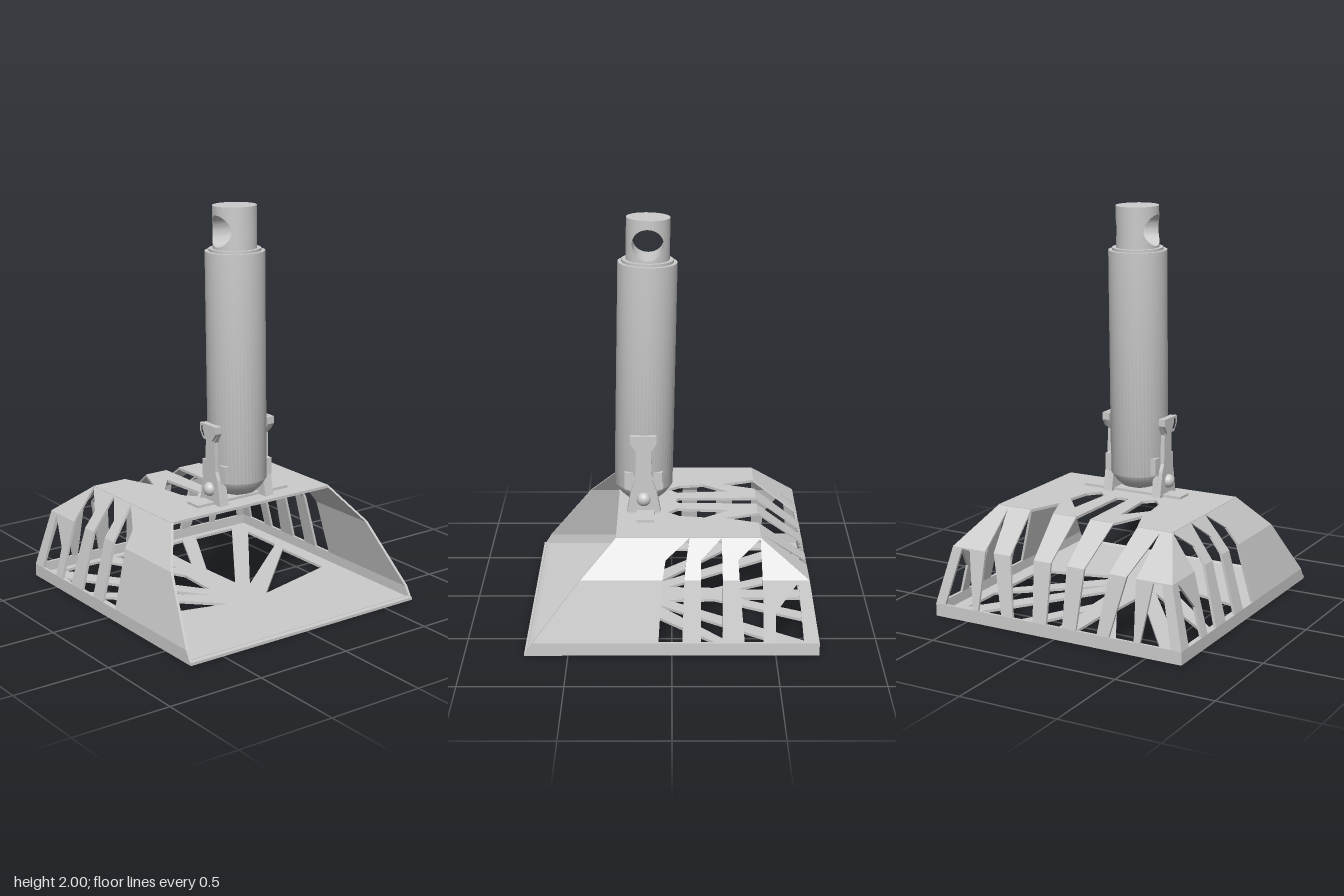
import * as THREE from 'three';
import { toCreasedNormals } from 'three/addons/utils/BufferGeometryUtils.js';

const material = new THREE.MeshStandardMaterial({ color: 0xcccccc });
const T = 0.014; // sheet thickness

function add(parent, name, geometry, x = 0, y = 0, z = 0) {
  const mesh = new THREE.Mesh(geometry, material);
  mesh.name = name;
  mesh.position.set(x, y, z);
  parent.add(mesh);
  return mesh;
}

// Closed solid through rings of points, turned so that it faces outwards
function loft(rings, crease = 0.3) {
  const n = rings[0].length, tris = [];
  for (let i = 0; i < rings.length - 1; i++) {
    for (let j = 0; j < n; j++) {
      const k = (j + 1) % n, a = rings[i], b = rings[i + 1];
      tris.push([a[j], a[k], b[k]], [a[j], b[k], b[j]]);
    }
  }
  const last = rings[rings.length - 1];
  for (let j = 1; j < n - 1; j++) {
    tris.push([rings[0][0], rings[0][j + 1], rings[0][j]], [last[0], last[j], last[j + 1]]);
  }
  const V = p => new THREE.Vector3(...p);
  const o = V(rings[0][0]);
  let volume = 0;
  for (const [a, b, c] of tris) volume += V(a).sub(o).dot(V(b).sub(o).cross(V(c).sub(o)));
  if (volume < 0) tris.forEach(t => t.reverse());
  const g = new THREE.BufferGeometry();
  g.setAttribute('position', new THREE.Float32BufferAttribute(tris.flat(2), 3));
  return toCreasedNormals(g, crease);
}

// Horizontal sheet from an outline in x and z, its upper face at y = 0
function sheet(outline, holes, depth = T) {
  const shape = new THREE.Shape(outline.map(p => new THREE.Vector2(...p)));
  for (const h of holes) shape.holes.push(new THREE.Path(h.map(p => new THREE.Vector2(...p))));
  return new THREE.ExtrudeGeometry(shape, { depth, bevelEnabled: false }).rotateX(Math.PI / 2);
}
const flip = pts => pts.map(([x, z]) => [-x, z]).reverse();
const both = list => [...list, ...list.map(flip)];

// Outer position of the folded walls at a given height
const along = (stops, y) => {
  let i = 1;
  while (i < stops.length - 1 && y > stops[i][0]) i++;
  const [y0, v0] = stops[i - 1], [y1, v1] = stops[i];
  return v0 + (v1 - v0) * (y - y0) / (y1 - y0);
};
const sideX = y => along([[0, 0.685], [0.065, 0.685], [0.36, 0.61], [0.53, 0.49]], y);
const backZ = y => along([[0, -0.71], [0.065, -0.71], [0.36, -0.66], [0.53, -0.43]], y);

// Wall strips: rows of [height, first edge, second edge]
const sideStrip = (rows, s) => loft(rows.map(([y, a, b]) => {
  const x = sideX(y);
  return [[s * x, y, a], [s * x, y, b], [s * (x - T), y, b], [s * (x - T), y, a]];
}));
const backStrip = (rows, s) => loft(rows.map(([y, a, b]) => {
  const z = backZ(y);
  return [[s * a, y, z], [s * b, y, z], [s * b, y, z + T], [s * a, y, z + T]];
}));

const SIDE = {
  Rim: [[0, 0.71, -0.71], [0.065, 0.67, -0.71]],
  FrontPanel: [[0.065, 0.67, 0.065], [0.36, 0.44, 0.045], [0.44, 0.36, 0.03], [0.53, 0.27, -0.085]],
  RibFront: [[0.065, -0.05, -0.14], [0.36, -0.06, -0.14], [0.44, -0.07, -0.14], [0.53, -0.085, -0.24]],
  RibMiddle: [[0.065, -0.244, -0.35], [0.36, -0.244, -0.325], [0.44, -0.243, -0.32], [0.53, -0.24, -0.43]],
  RibRear: [[0.065, -0.44, -0.5], [0.21, -0.44, -0.5], [0.35, -0.435, -0.605], [0.36, -0.435, -0.66],
    [0.44, -0.432, -0.552], [0.53, -0.428, -0.43]],
  CornerPost: [[0.065, -0.635, -0.71], [0.36, -0.605, -0.66]],
};
const BACK = {
  Rim: [[0, 0, 0.685], [0.065, 0, 0.685]],
  RibInner: [[0.065, 0.045, 0.12], [0.36, 0.045, 0.14], [0.53, 0.04, 0.17]],
  RibOuter: [[0.065, 0.235, 0.3], [0.36, 0.275, 0.37], [0.53, 0.3, 0.43]],
  RibCorner: [[0.065, 0.435, 0.467], [0.35, 0.42, 0.51], [0.36, 0.42, 0.61], [0.53, 0.428, 0.49]],
  CornerPost: [[0.065, 0.63, 0.685], [0.36, 0.555, 0.61]],
};

function makeScoop() {
  const scoop = new THREE.Group();
  scoop.name = 'scoop';
  // Top plate, slotted from its rear edge
  const half = [[0.49, 0.27], [0.49, -0.43], [0.3, -0.43], [0.235, -0.26], [0.17, -0.43],
    [0.04, -0.43], [0.035, -0.04], [0.02, -0.025]];
  add(scoop, 'topPlate', sheet([...half, ...flip(half)],
    both([[[0.13, -0.29], [0.23, -0.165], [0.21, -0.04], [0.16, 0.02], [0.11, -0.03]]])), 0, 0.532, 0);
  // Floor with openings fanning out from the middle
  add(scoop, 'floor', sheet([[-0.685, -0.71], [0.685, -0.71], [0.685, 0.71], [-0.685, 0.71]], both([
    [[0.05, -0.33], [0.05, -0.66], [0.22, -0.66]],
    [[0.08, 0.02], [0.07, -0.22], [0.31, -0.66], [0.56, -0.66]],
    [[0.13, 0.08], [0.6, -0.56], [0.6, -0.31]],
    [[0.12, 0.23], [0.59, -0.23], [0.59, 0.11]],
  ])), 0, T, 0);
  // Raised cutting lip
  add(scoop, 'cuttingLip', loft([-0.685, 0.685].map(x =>
    [[x, 0, 0.71], [x, 0.02, 0.695], [x, 0.012, 0.67], [x, 0, 0.67]])));
  // Side and back walls
  for (const [s, label] of [[1, 'left'], [-1, 'right']]) {
    for (const key in SIDE) add(scoop, label + 'Side' + key, sideStrip(SIDE[key], s));
    for (const key in BACK) add(scoop, label + 'Back' + key, backStrip(BACK[key], s));
  }
  return scoop;
}

// Upright plate from an outline in z and y, centred on x = 0
function upright(points, depth, hole) {
  // Rotating the extrusion turns the shape's first axis into -z
  const vec = ([z, y]) => new THREE.Vector2(-z, y);
  const shape = new THREE.Shape(points.map(vec));
  if (hole) shape.holes.push(new THREE.Path(hole.map(vec)));
  return new THREE.ExtrudeGeometry(shape, { depth, bevelEnabled: false })
    .translate(0, 0, -depth / 2).rotateY(Math.PI / 2);
}

function makeBracket() {
  const bracket = new THREE.Group();
  bracket.name = 'pivotBracket';
  add(bracket, 'basePlate', new THREE.BoxGeometry(0.56, 0.016, 0.09), 0.015, 0.537, 0.13);
  const sym = pts => [...pts, ...pts.map(([z, y]) => [-z, y]).reverse()];
  for (const [s, label] of [[1, 'left'], [-1, 'right']]) {
    add(bracket, label + 'Arm', upright(sym([[0.085, 0.53], [0.06, 0.66], [0.042, 0.7], [0.036, 0.85],
      [0.065, 0.9], [0.065, 0.935]]), 0.022), s * 0.154, 0, 0.14);
    add(bracket, label + 'Lug', upright(sym([[0.085, 0.53], [0.065, 0.64], [0.095, 0.65], [0.095, 0.735],
      [0.05, 0.735], [0.045, 0.71]]), 0.03), s * 0.13, 0, 0.14);
    add(bracket, label + 'Catch', upright(sym([[0.036, 0.86], [0.065, 0.9], [0.065, 0.937]]), 0.018,
      sym([[0.033, 0.875], [0.05, 0.9], [0.05, 0.925]])), s * 0.172, 0, 0.14);
    add(bracket, label + 'PivotPin', new THREE.CylinderGeometry(0.02, 0.02, 0.07, 20).rotateZ(Math.PI / 2),
      s * 0.14, 0.605, 0.14);
    const head = add(bracket, label + 'PinHead', new THREE.SphereGeometry(0.035, 20, 14), s * 0.168, 0.605, 0.14);
    head.scale.x = 0.9;
  }
  return bracket;
}

function makeSocket() {
  const socket = new THREE.Group();
  socket.name = 'handleSocket';
  const profile = [[0, 0], [0.05, 0.008], [0.09, 0.022], [0.12, 0.05], [0.147, 0.09], [0.147, 1.23],
    [0.128, 1.23], [0.128, 1.243], [0, 1.243]].map(p => new THREE.Vector2(...p));
  add(socket, 'barrel', toCreasedNormals(new THREE.LatheGeometry(profile, 48), 0.6));
  // Neck with a cross hole, in two halves that meet at the hole's centre line
  const r = 0.108, hole = 0.077, centre = 1.33, zs = [];
  for (let i = 0; i <= 24; i++) {
    zs.push(r * Math.cos(Math.PI * i / 24), hole * Math.cos(Math.PI * i / 24));
  }
  const steps = [...new Set(zs)].sort((a, b) => a - b);
  for (const [dir, end, name] of [[1, 1.45, 'neckTop'], [-1, 1.235, 'neckBottom']]) {
    add(socket, name, loft(steps.map(z => {
      const x = Math.sqrt(Math.max(0, r * r - z * z));
      const y = centre + dir * Math.sqrt(Math.max(0, hole * hole - z * z));
      return [[x, end, z], [-x, end, z], [-x, y, z], [x, y, z]];
    }), 0.6));
  }
  // Slight rearward lean
  socket.position.set(0, 0.55, 0.145);
  socket.rotation.x = -0.022;
  return socket;
}

export function createModel() {
  const model = new THREE.Group();
  model.name = 'sandScoop';
  model.add(makeScoop(), makeBracket(), makeSocket());
  return model;
}
